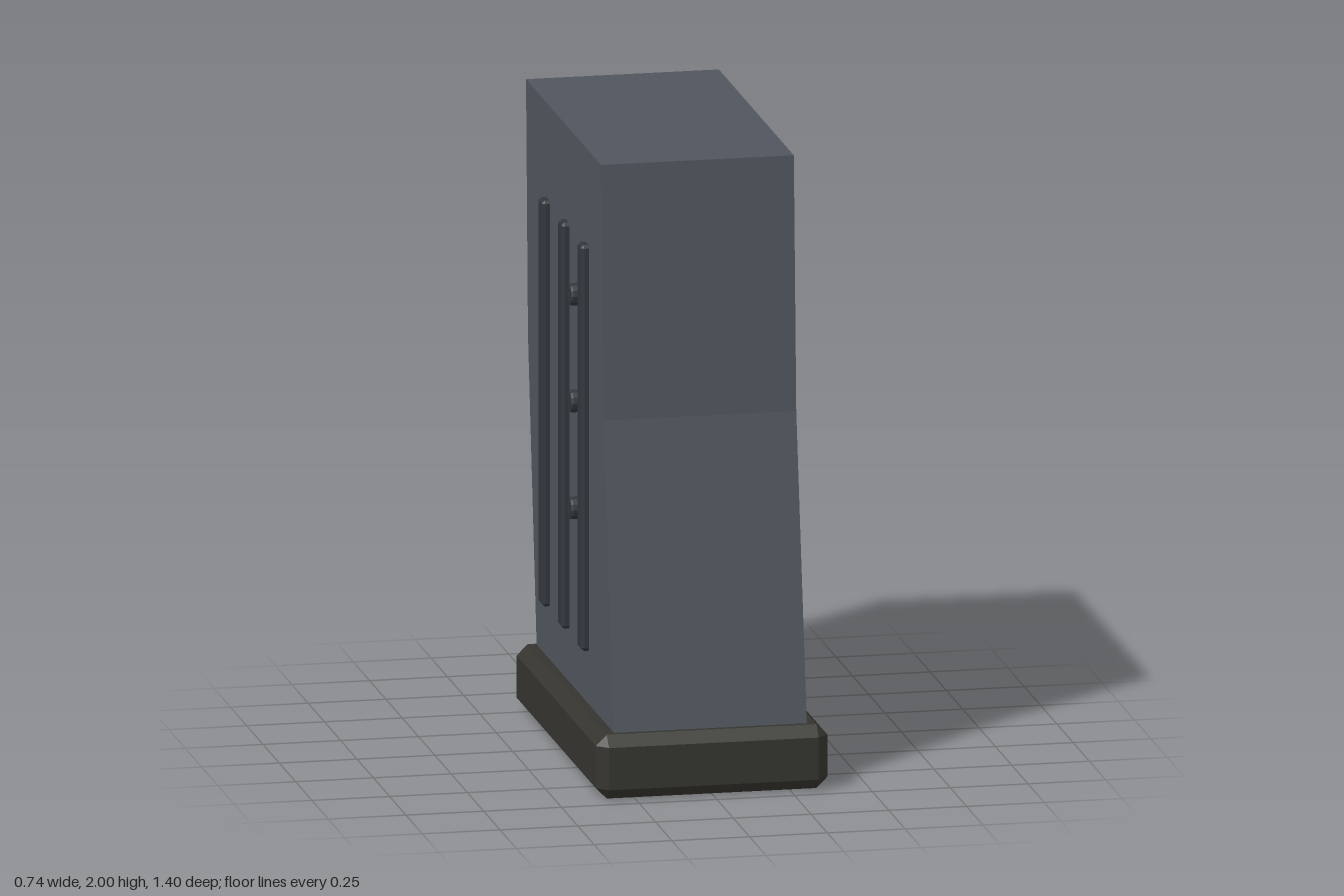
import * as THREE from 'three';
import { ConvexGeometry } from 'three/addons/geometries/ConvexGeometry.js';

const paint = (color) => new THREE.MeshStandardMaterial({ color, flatShading: true });

// Box with a flat chamfer of size c along every edge and corner
function chamferBox(w, h, d, c) {
  const points = [];
  for (const x of [-1, 1]) for (const y of [-1, 1]) for (const z of [-1, 1]) {
    for (let full = 0; full < 3; full++) {
      const [a, b, e] = [w, h, d].map((s, i) => s / 2 - (i === full ? 0 : c));
      points.push(new THREE.Vector3(x * a, y * b, z * e));
    }
  }
  return new ConvexGeometry(points);
}

export function createModel() {
  const model = new THREE.Group();
  const bodyMaterial = paint(0x50565e);
  const baseMaterial = paint(0x35342f);
  const trimMaterial = paint(0x32363b);

  const add = (name, geometry, material, x, y, z) => {
    const mesh = new THREE.Mesh(geometry, material);
    mesh.name = name;
    mesh.position.set(x, y, z);
    model.add(mesh);
    return mesh;
  };

  // Bent body: side profile as (z, y), extruded across the width
  const halfWidth = 0.31;
  const profile = new THREE.Shape([
    [-0.53, 0.15], [0.658, 0.15], [0.487, 1.18], [0.45, 2], [-0.70, 2], [-0.67, 1.18],
  ].map(([z, y]) => new THREE.Vector2(z, y)));
  const bodyGeometry = new THREE.ExtrudeGeometry(profile, { depth: halfWidth * 2, bevelEnabled: false });
  bodyGeometry.translate(0, 0, -halfWidth).rotateY(-Math.PI / 2);
  add('body', bodyGeometry, bodyMaterial, 0, 0, 0);

  // Chamfered base plate
  add('basePlate', chamferBox(0.744, 0.207, 1.284, 0.035), baseMaterial, 0, 0.1035, 0.06);

  // Ribs and round studs, mirrored on both sides
  const ribGeometry = chamferBox(0.05, 1.316, 0.067, 0.01);
  const studGeometry = new THREE.LatheGeometry([
    [0, -0.02], [0.037, -0.02], [0.037, 0.018], [0.032, 0.024], [0, 0.024],
  ].map(([r, y]) => new THREE.Vector2(r, y)), 12);

  for (const side of [-1, 1]) {
    const label = side > 0 ? 'left' : 'right';
    [0.231, -0.067, -0.366].forEach((z, i) =>
      add(`${label}Rib${i + 1}`, ribGeometry, trimMaterial, side * 0.31, 1.036, z));
    [0.8, 1.146, 1.492].forEach((y, i) => {
      const stud = add(`${label}Stud${i + 1}`, studGeometry, trimMaterial, side * 0.31, y, 0.08);
      stud.rotation.z = -side * Math.PI / 2;
    });
  }

  return model;
}
